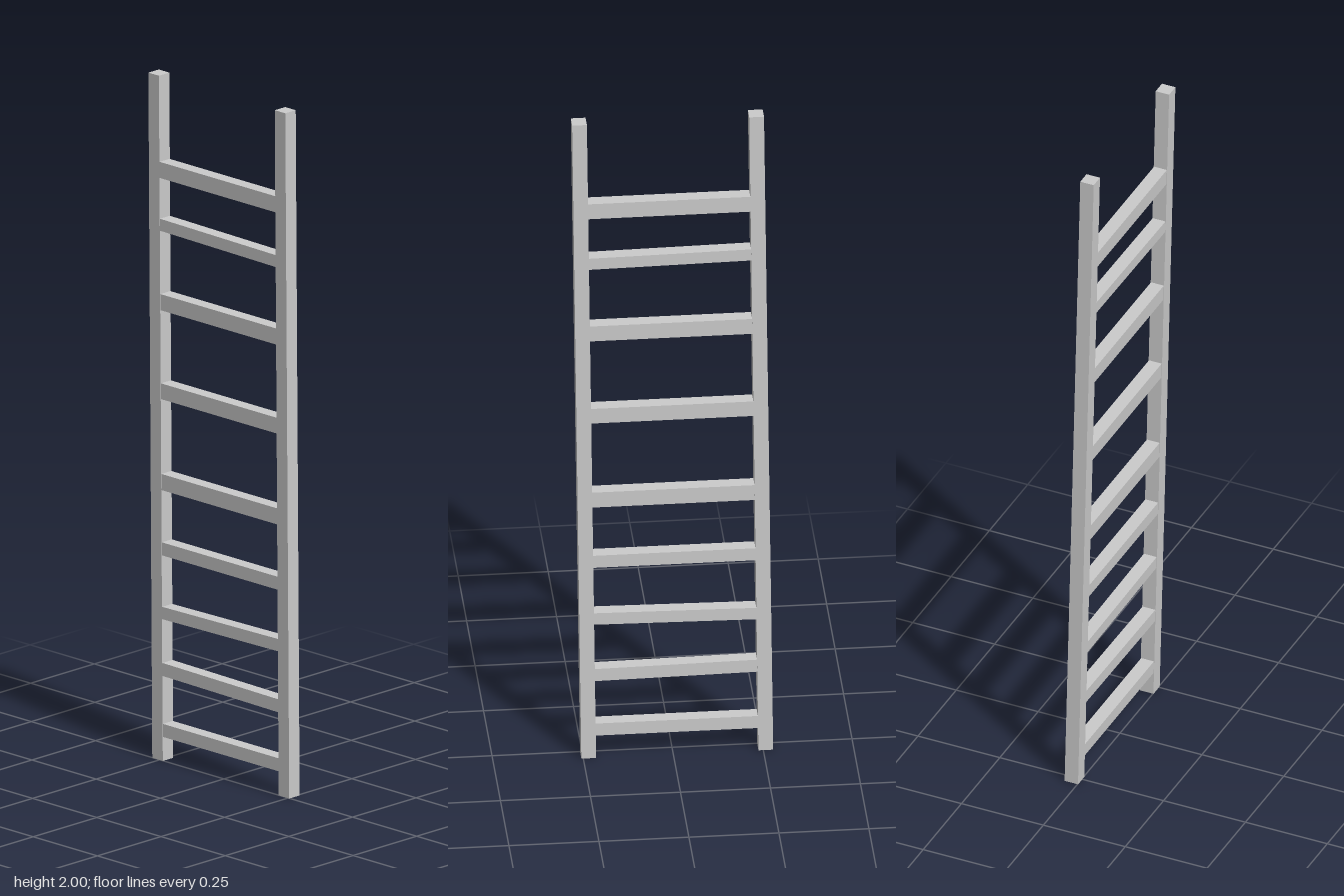
import * as THREE from 'three';

const material = new THREE.MeshStandardMaterial({ color: 0xcccccc, flatShading: true });

// The whole ladder leans sideways and forwards: offset of its axis at a height
const leanX = (y) => 0.011 * (y - 1);
const leanZ = (y) => 0.0188 * (y - 1);

// Box standing at (x, y), sheared along the lean; tilt raises its +x end
function leaningBox(name, x, y, width, height, depth, tilt = 0) {
  const geometry = new THREE.BoxGeometry(width, height, depth);
  const p = geometry.attributes.position;
  for (let i = 0; i < p.count; i++) {
    const py = p.getY(i) + y + (tilt * p.getX(i)) / width;
    p.setXYZ(i, p.getX(i) + x + leanX(py), py, p.getZ(i) + leanZ(py));
  }
  geometry.computeVertexNormals();
  const mesh = new THREE.Mesh(geometry, material);
  mesh.name = name;
  return mesh;
}

export function createModel() {
  const ladder = new THREE.Group();
  ladder.name = 'ladder';

  // Side rails
  ladder.add(leaningBox('leftRail', 0.246, 1, 0.041, 2, 0.041));
  ladder.add(leaningBox('rightRail', -0.246, 1, 0.041, 2, 0.041));

  // Unevenly spaced rungs: [centre height, thickness, tilt]
  const rungs = [
    [0.089, 0.038, 0], [0.264, 0.038, -0.006], [0.435, 0.036, 0.007],
    [0.619, 0.038, 0], [0.814, 0.047, 0], [1.079, 0.046, 0],
    [1.339, 0.047, 0], [1.562, 0.035, -0.006], [1.725, 0.047, 0],
  ];
  rungs.forEach(([y, height, tilt], i) =>
    ladder.add(leaningBox(`rung${i + 1}`, 0, y, 0.47, height, 0.039, tilt)));

  return ladder;
}
